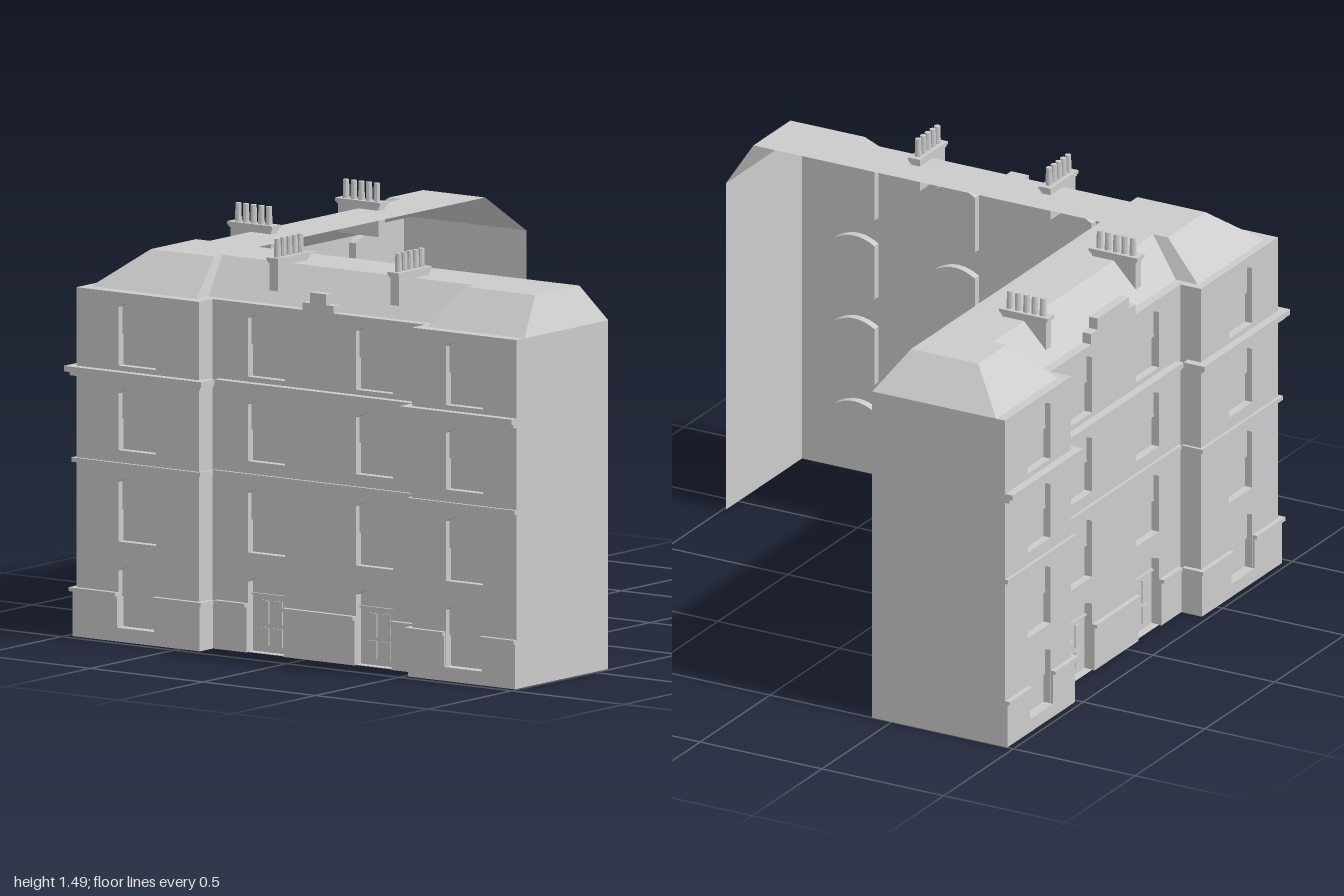
import * as THREE from 'three';

const mat = new THREE.MeshStandardMaterial({ color: 0xcccccc, flatShading: true, side: THREE.DoubleSide });
const EAVE = 1.26, TOP = 1.39, WIN_W = 0.165, REVEAL = 0.03;

// Plan outlines as [x, z], running from the back-left end round the corner to the right end
const wallPlan = [[-0.42, -1], [-0.965, -1], [-0.965, -0.525], [-0.88, -0.525], [-0.88, 0.405], [-0.965, 0.405],
  [-0.965, 0.957], [-0.42, 0.957], [-0.42, 0.877], [0.525, 0.877], [0.525, 0.957], [0.99, 0.957], [0.99, 0.41]];
const eavePlan = [[-0.42, -1], [-0.93, -1], [-0.93, -0.565], [-0.845, -0.565], [-0.845, 0.435], [-0.935, 0.435],
  [-0.935, 0.91], [-0.465, 0.91], [-0.465, 0.84], [0.56, 0.84], [0.56, 0.91], [0.99, 0.91], [0.99, 0.41]];
const topPlan = [[-0.5, -0.86], [-0.775, -0.86], [-0.775, -0.655], [-0.72, -0.655], [-0.72, 0.49], [-0.78, 0.49],
  [-0.78, 0.76], [-0.5, 0.76], [-0.5, 0.71], [0.62, 0.71], [0.62, 0.76], [0.925, 0.76], [0.925, 0.495]];

// Bays of each wall run: world coordinate along the run, and whether the ground floor has a door
const bays = {
  1: { at: [-0.755], door: false }, 3: { at: [-0.31, 0.17], door: true }, 5: { at: [0.69], door: false },
  6: { at: [-0.695], door: false }, 8: { at: [-0.18, 0.3], door: true }, 10: { at: [0.758], door: false },
};
const floors = [[0.05, 0.28], [0.36, 0.6], [0.69, 0.92], [0.995, 1.232]];
// Horizontal mouldings: name, bottom, top, projection
const bands = [['plinth', 0, 0.163, 0.01], ['plinthMoulding', 0.163, 0.177, 0.02],
  ['stringCourse', 0.63, 0.646, 0.013], ['corniceBed', 0.943, 0.957, 0.018], ['cornice', 0.957, 0.977, 0.032]];

function add(parent, name, geometry, x = 0, y = 0, z = 0) {
  const mesh = new THREE.Mesh(geometry, mat);
  mesh.name = name;
  mesh.position.set(x, y, z);
  parent.add(mesh);
  return mesh;
}

function box(parent, name, x0, x1, y0, y1, z0, z1) {
  return add(parent, name, new THREE.BoxGeometry(x1 - x0, y1 - y0, z1 - z0),
    (x0 + x1) / 2, (y0 + y1) / 2, (z0 + z1) / 2);
}

// Skin joining successive rows of equally many points
function loft(rows) {
  const n = rows[0].length, index = [];
  for (let r = 0; r < rows.length - 1; r++) {
    for (let i = 0; i < n - 1; i++) {
      const a = r * n + i, b = a + n;
      index.push(a, a + 1, b + 1, a, b + 1, b);
    }
  }
  const g = new THREE.BufferGeometry();
  g.setAttribute('position', new THREE.Float32BufferAttribute(rows.flat(2), 3));
  g.setIndex(index);
  g.computeVertexNormals();
  return g;
}

// Opening outline with a shallow arched head
function openingPoints(u, y0, y1) {
  const pts = [[u - WIN_W / 2, y0], [u + WIN_W / 2, y0]];
  for (let i = 0; i <= 8; i++) {
    const t = 1 - i / 4;
    pts.push([u + t * WIN_W / 2, y1 - 0.025 * t * t]);
  }
  return pts;
}
const toVectors = (pts) => pts.map(([x, y]) => new THREE.Vector2(x, y));

// Reveal, panes and sash or door details of one opening
function addOpening(run, { u, y0, y1, door }) {
  const g = new THREE.Group();
  g.name = door ? 'door' : 'window';
  run.add(g);
  const pts = openingPoints(u, y0, y1), ring = [...pts, pts[0]];
  add(g, 'reveal', loft([0, -REVEAL].map((z) => ring.map(([x, y]) => [x, y, z]))));
  add(g, 'pane', new THREE.ShapeGeometry(new THREE.Shape(toVectors(pts))), 0, 0, -REVEAL);
  const l = u - WIN_W / 2, r = u + WIN_W / 2;
  if (door) {
    box(g, 'transom', l, r, 0.205, 0.213, -REVEAL, -REVEAL + 0.008);
    for (const s of [-1, 1]) {
      for (const [a, b] of [[0.025, 0.09], [0.105, 0.19]]) {
        box(g, 'doorPanel', u + s * 0.03 - 0.02, u + s * 0.03 + 0.02, a, b, -REVEAL, -REVEAL + 0.004);
      }
    }
  } else {
    // Upper sash stands slightly proud of the lower one
    const mid = (y0 + y1) / 2;
    const upper = pts.map(([x, y]) => [x, Math.max(y, mid)]);
    add(g, 'upperSash', new THREE.ShapeGeometry(new THREE.Shape(toVectors(upper))), 0, 0, -REVEAL + 0.008);
    box(g, 'meetingRail', l, r, mid - 0.004, mid + 0.004, -REVEAL, -REVEAL + 0.009);
  }
}

// One straight run of wall with its openings and mouldings; local x runs along it, local z faces out
function addRun(parent, i) {
  const [p, q] = [wallPlan[i], wallPlan[i + 1]];
  const dx = q[0] - p[0], dz = q[1] - p[1], len = Math.hypot(dx, dz);
  const run = new THREE.Group();
  const isEnd = i === 0 || i === wallPlan.length - 2;
  run.name = isEnd ? 'endWall' : bays[i] ? 'facadeWall' : 'returnWall';
  run.position.set(p[0], 0, p[1]);
  run.rotation.y = Math.atan2(-dz, dx);
  parent.add(run);

  const openings = [];
  for (const c of bays[i]?.at ?? []) {
    const u = Math.abs(dx) > Math.abs(dz) ? c - p[0] : c - p[1];
    floors.forEach(([y0, y1], f) => {
      const door = f === 0 && bays[i].door;
      openings.push({ u, y0: door ? 0.002 : y0, y1, door });
    });
  }
  const shape = new THREE.Shape(toVectors([[0, 0], [len, 0], [len, EAVE], [0, EAVE]]));
  shape.holes = openings.map((o) => new THREE.Path(toVectors(openingPoints(o.u, o.y0, o.y1))));
  add(run, 'wall', new THREE.ShapeGeometry(shape));
  openings.forEach((o) => addOpening(run, o));
  if (isEnd) return;

  // Mouldings grow at outer corners, shrink at inner ones, and break at openings
  const corner = (k) => {
    if (k === 1 || k === wallPlan.length - 2) return 0;
    const [a, b, c] = [wallPlan[k - 1], wallPlan[k], wallPlan[k + 1]];
    return (b[0] - a[0]) * (c[1] - b[1]) - (b[1] - a[1]) * (c[0] - b[0]) < 0 ? 1 : -1;
  };
  for (const [name, y0, y1, d] of bands) {
    let start = -corner(i) * d;
    const end = len + corner(i + 1) * d;
    for (const o of openings.filter((o) => o.y0 < y1 && o.y1 > y0)) {
      const l = o.u - WIN_W / 2, r = o.u + WIN_W / 2;
      box(run, name, start, l, y0, y1, 0.001, d);
      if (o.y0 > y0 + 0.01) box(run, name, l, r, y0, o.y0, 0.001, d);
      start = r;
    }
    box(run, name, start, end, y0, y1, 0.001, d);
  }
}

// Chimney slab with a cap and a row of five pots; its length runs along local x
function addChimney(parent, x, z, turn) {
  const g = new THREE.Group();
  g.name = 'chimney';
  g.position.set(x, 0, z);
  g.rotation.y = turn;
  parent.add(g);
  box(g, 'stack', -0.09, 0.09, 1.295, 1.4, -0.019, 0.019);
  box(g, 'capLower', -0.095, 0.095, 1.4, 1.408, -0.022, 0.022);
  box(g, 'cap', -0.1, 0.1, 1.408, 1.42, -0.025, 0.025);
  for (let i = -2; i <= 2; i++) {
    add(g, 'chimneyPot', new THREE.CylinderGeometry(0.011, 0.013, 0.067, 10), i * 0.034, 1.453, 0);
  }
}

export function createModel() {
  const model = new THREE.Group();
  model.name = 'cornerTerrace';

  for (let i = 0; i < wallPlan.length - 1; i++) addRun(model, i);

  // Parapet ledge and roof slopes
  const row = (plan, y) => plan.map(([x, z]) => [x, y, z]);
  add(model, 'parapetLedge', loft([row(wallPlan, EAVE), row(eavePlan, EAVE)]));
  add(model, 'roofSlopes', loft([row(eavePlan, EAVE), row(topPlan, TOP)]));

  // Flat roof top, open to the yard behind
  const flat = [...topPlan, [-0.5, 0.495]].map(([x, z]) => [x, -z]);
  const top = new THREE.ShapeGeometry(new THREE.Shape(toVectors(flat)));
  add(model, 'roofTop', top.rotateX(-Math.PI / 2), 0, TOP, 0);

  // Stepped parapet gablets over the recessed bays
  box(model, 'frontGabletBase', -0.02, 0.117, EAVE, 1.287, 0.842, 0.877);
  box(model, 'frontGabletTop', 0.012, 0.085, 1.287, 1.326, 0.842, 0.877);
  box(model, 'sideGabletBase', -0.88, -0.845, EAVE, 1.3, -0.235, 0.085);
  box(model, 'sideGabletTop', -0.88, -0.845, 1.3, 1.343, -0.188, 0.037);

  for (const x of [-0.205, 0.332]) addChimney(model, x, 0.71, Math.PI / 2);
  for (const z of [-0.417, 0.227]) addChimney(model, -0.72, z, 0);
  return model;
}
